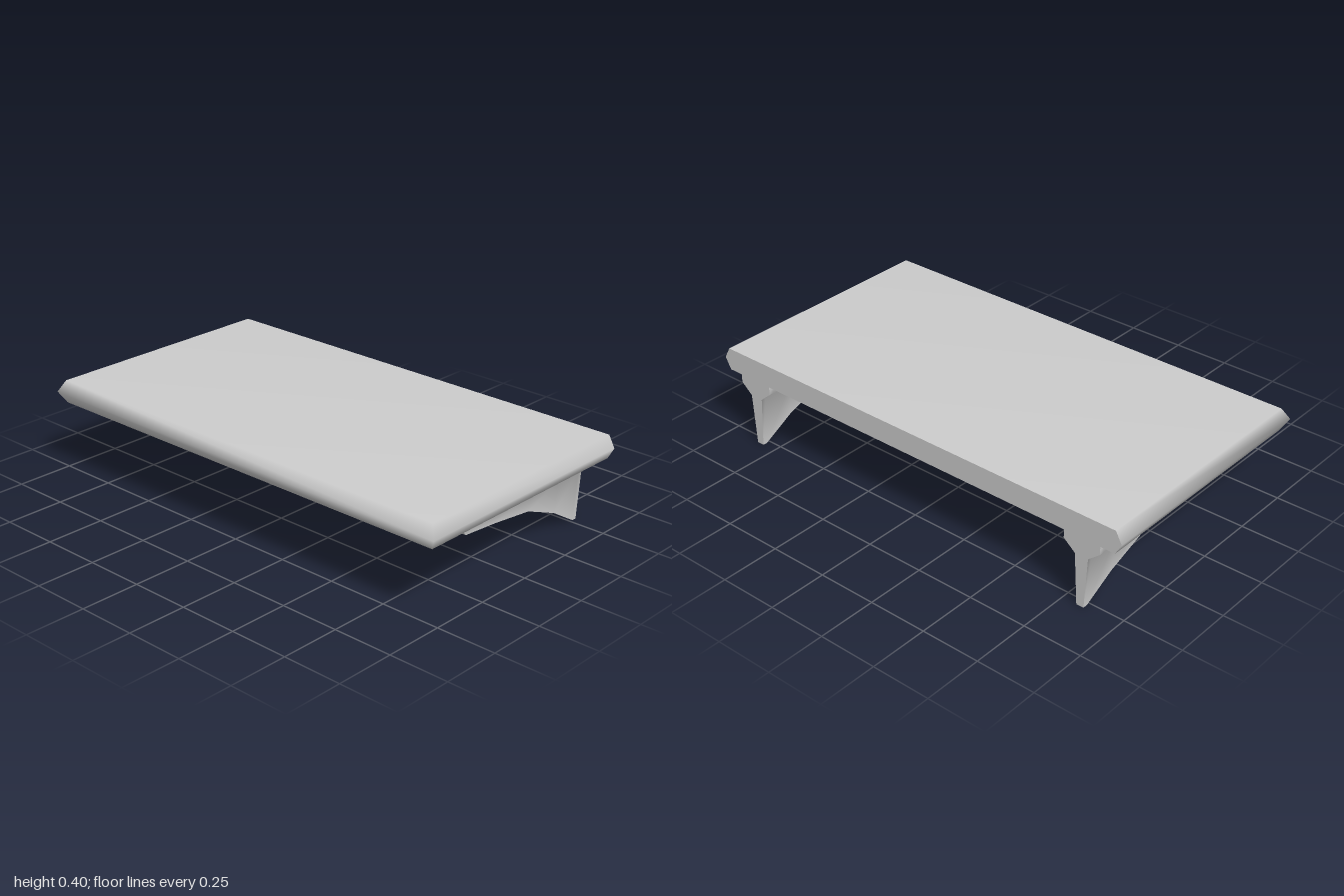
import * as THREE from 'three';
import { toCreasedNormals } from 'three/addons/utils/BufferGeometryUtils.js';

const material = new THREE.MeshStandardMaterial({ color: 0xcccccc });
const BACK = -0.535, FRONT = 0.535;

// Joins equal-sized rings of points into a closed skin; skipSide leaves one side open.
function loft(rings, capOutline, skipSide = -1) {
  const n = rings[0].length, index = [];
  for (let i = 0; i < rings.length - 1; i++) {
    for (let j = 0; j < n; j++) {
      if (j === skipSide) continue;
      const a = i * n + j, b = i * n + (j + 1) % n, c = a + n, d = b + n;
      index.push(a, c, d, a, d, b);
    }
  }
  const end = (rings.length - 1) * n;
  const cap = (ring, first, flip) => {
    for (const [a, b, c] of THREE.ShapeUtils.triangulateShape(ring.map(capOutline), [])) {
      index.push(first + a, first + (flip ? c : b), first + (flip ? b : c));
    }
  };
  cap(rings[0], 0, false);
  cap(rings[rings.length - 1], end, true);
  const geometry = new THREE.BufferGeometry();
  geometry.setAttribute('position', new THREE.Float32BufferAttribute(rings.flat(2), 3));
  geometry.setIndex(index);
  geometry.computeVertexNormals();
  return geometry;
}

// Shelf board: pointed edge on three sides, flat at the back
function createBoard() {
  const board = new THREE.Group();
  board.name = 'shelfBoard';
  const levels = [[0.395, 0.027], [0.346, 0], [0.298, 0.027]]; // height, inset
  const rings = levels.map(([y, inset]) => {
    const x = 1 - inset, z = FRONT - inset;
    return [[x, y, BACK], [-x, y, BACK], [-x, y, z], [x, y, z]];
  });
  const slab = new THREE.Mesh(loft(rings, p => new THREE.Vector2(p[0], -p[2]), 0), material);
  slab.name = 'boardSurface';

  const outline = [
    ...levels.map(([y, inset]) => new THREE.Vector2(1 - inset, y)),
    ...levels.map(([y, inset]) => new THREE.Vector2(inset - 1, y)).reverse(),
  ];
  const backGeometry = new THREE.ShapeGeometry(new THREE.Shape(outline));
  backGeometry.rotateY(Math.PI).translate(0, 0, BACK);
  const back = new THREE.Mesh(backGeometry, material);
  back.name = 'boardBack';
  board.add(slab, back);
  return board;
}

// Bracket: wide flange narrowing into a tapered web, deepest at the back
function createBracketGeometry() {
  const stations = [ // z, height of the lower edge
    [0.203, 0.224], [0.175, 0.19], [0, 0.175], [-0.205, 0.15],
    [-0.38, 0.08], [-0.515, 0], [BACK, 0],
  ];
  const rings = stations.map(([z, low]) => {
    const flange = 0.08, top = 0.299, lip = 0.263;
    const knee = Math.max(0.22, low + 0.007), kneeHalf = 0.029;
    const lowHalf = 0.016 + 0.055 * low;
    return [
      [flange, top], [-flange, top], [-flange, lip], [-kneeHalf, knee],
      [-lowHalf, low], [lowHalf, low], [kneeHalf, knee], [flange, lip],
    ].map(([x, y]) => [x, y, z]);
  });
  return toCreasedNormals(loft(rings, p => new THREE.Vector2(p[0], p[1])), 1.0);
}

export function createModel() {
  const shelf = new THREE.Group();
  shelf.name = 'wallShelf';
  shelf.add(createBoard());

  // Pair of brackets
  const geometry = createBracketGeometry();
  for (const [name, x] of [['leftBracket', 0.83], ['rightBracket', -0.83]]) {
    const bracket = new THREE.Mesh(geometry, material);
    bracket.name = name;
    bracket.position.x = x;
    shelf.add(bracket);
  }
  return shelf;
}
